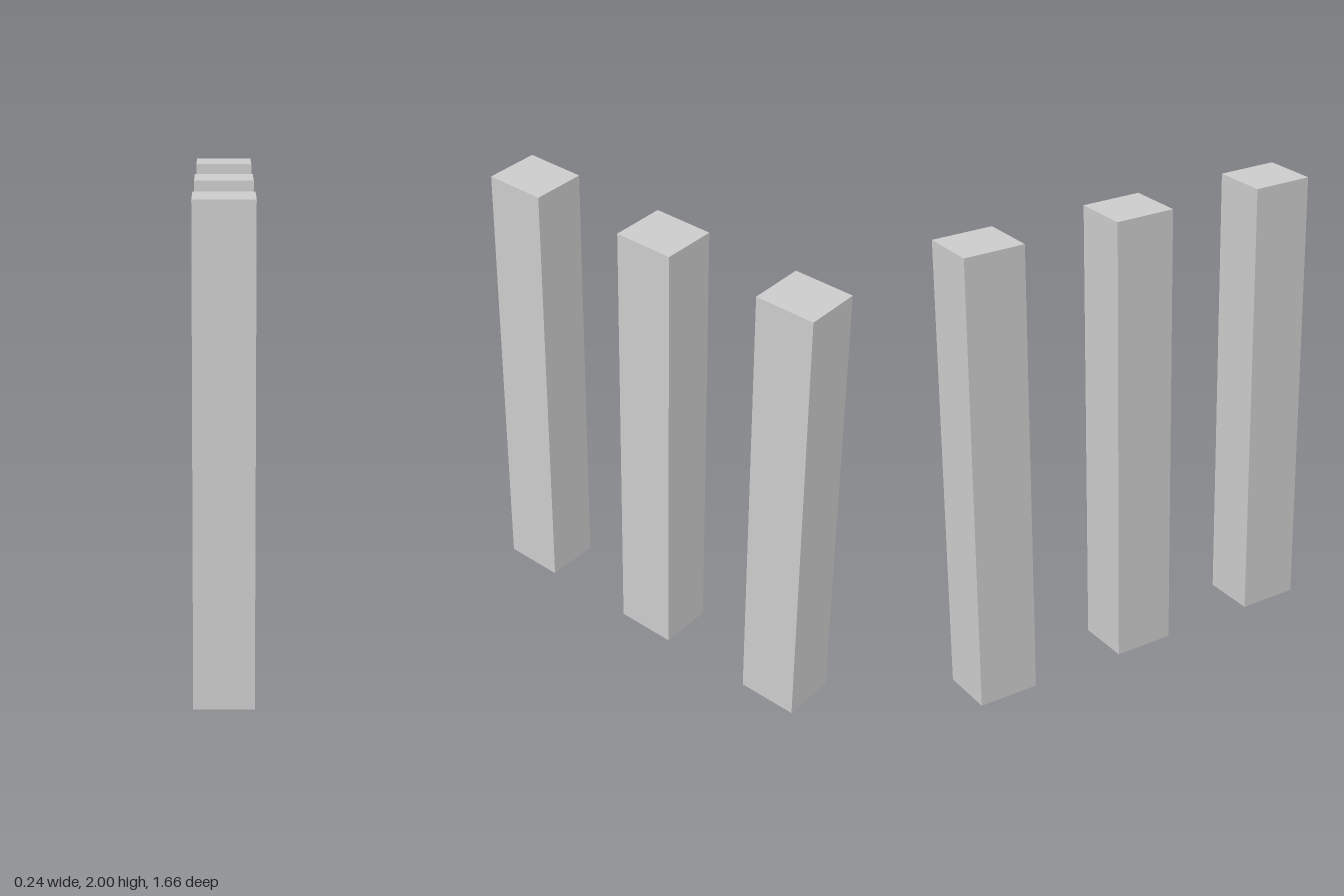
import * as THREE from 'three';

export function createModel() {
  const group = new THREE.Group();
  group.name = 'pillarRow';

  const width = 0.242, height = 2, depth = 0.268, spacing = 0.696;
  const material = new THREE.MeshStandardMaterial({ color: 0xcccccc });
  const geometry = new THREE.BoxGeometry(width, height, depth);

  // Three identical square pillars in a row from back to front
  ['backPillar', 'middlePillar', 'frontPillar'].forEach((name, i) => {
    const pillar = new THREE.Mesh(geometry, material);
    pillar.name = name;
    pillar.position.set(0, height / 2, (i - 1) * spacing);
    group.add(pillar);
  });

  return group;
}
